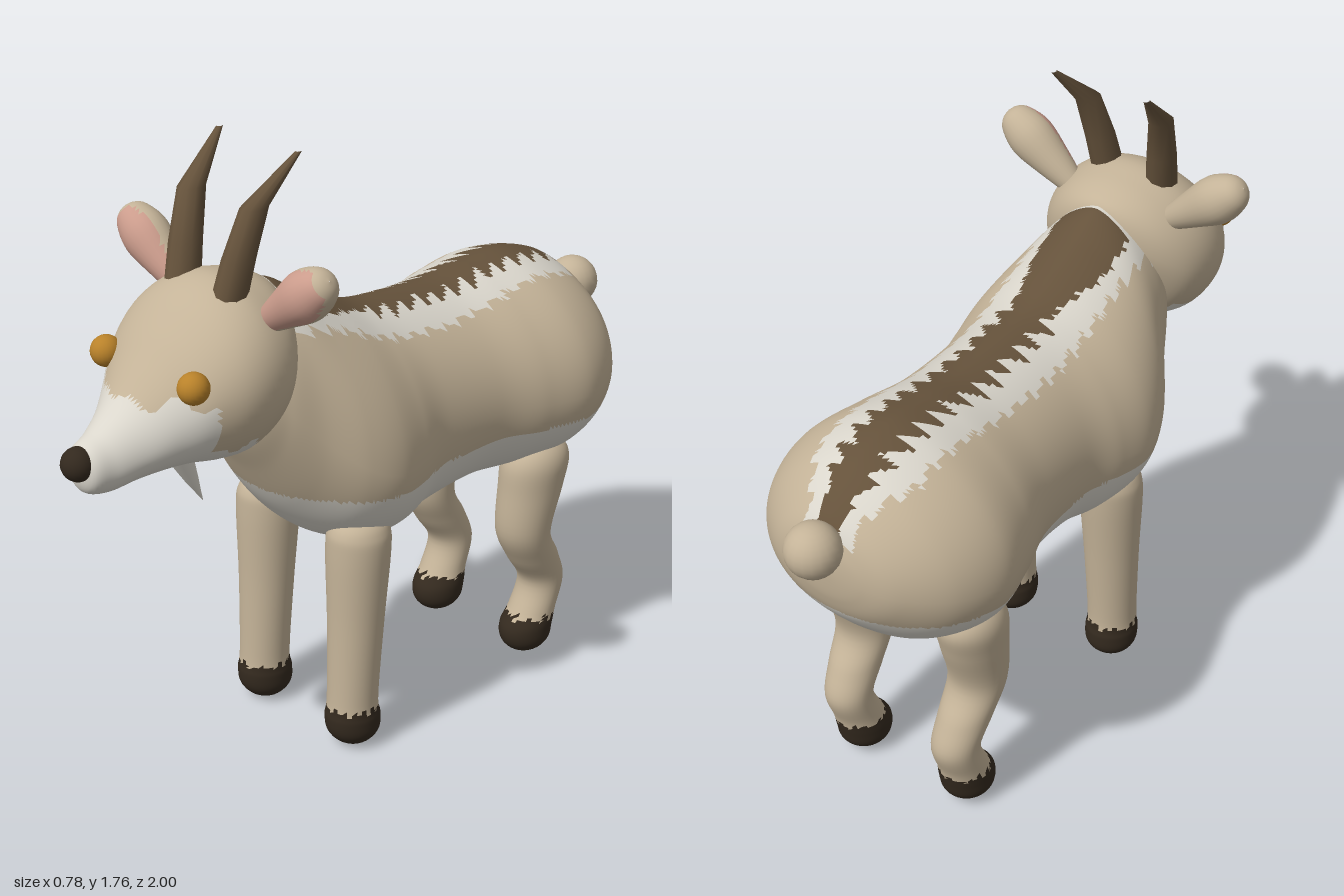
import * as THREE from 'three';

const mat = (name, color) => {
  const m = new THREE.MeshStandardMaterial({ color });
  m.name = name;
  return m;
};
const tan = mat('tan coat', 0xc4b398);
const pale = mat('pale coat', 0xdad6cc);
const brown = mat('brown stripe and horn', 0x65523b);
const dark = mat('dark hoof and nose', 0x33291e);
const pink = mat('pink inner ear', 0xcb9c8c);
const gold = mat('gold eye', 0xb9822a);

// Smooth interpolation through rows of numbers, n steps per span
function spline(rows, n) {
  const out = [];
  for (let i = 0; i < rows.length - 1; i++) {
    const b = rows[i], c = rows[i + 1];
    const a = rows[i - 1] || b, d = rows[i + 2] || c;
    for (let k = 0; k < n; k++) {
      const t = k / n;
      out.push(b.map((_, j) => {
        const linear = (c[j] - a[j]) * t;
        const square = (2 * a[j] - 5 * b[j] + 4 * c[j] - d[j]) * t * t;
        const cubic = (3 * b[j] - a[j] - 3 * c[j] + d[j]) * t * t * t;
        return b[j] + 0.5 * (linear + square + cubic);
      }));
    }
  }
  out.push(rows[rows.length - 1]);
  return out;
}

// Skin over cross-section rings; pick(x, y, z) chooses the material of each face
function skin(name, rings, materials, pick = () => 0) {
  const m = rings[0].length, pos = rings.flat(2);
  const lists = materials.map(() => []);
  const face = (...f) => {
    const mid = [0, 1, 2].map((j) => f.reduce((s, v) => s + pos[v * 3 + j], 0) / 3);
    lists[pick(...mid)].push(...f);
  };
  for (let i = 0; i < rings.length - 1; i++) {
    for (let k = 0; k < m; k++) {
      const a = i * m + k, b = i * m + (k + 1) % m;
      face(a, b, b + m);
      face(a, b + m, a + m);
    }
  }
  const geo = new THREE.BufferGeometry();
  geo.setAttribute('position', new THREE.Float32BufferAttribute(pos, 3));
  geo.setIndex(lists.flat());
  let start = 0;
  lists.forEach((l, i) => { geo.addGroup(start, l.length, i); start += l.length; });
  geo.computeVertexNormals();
  const mesh = new THREE.Mesh(geo, materials);
  mesh.name = name;
  return mesh;
}

// Rings along z; rows are [z, top, bottom, half width, height of widest point]
const trunkRings = (rows, n, sides, power) => spline(rows, n).map(([z, top, bottom, w, wy]) =>
  Array.from({ length: sides }, (_, k) => {
    const a = (k / sides) * Math.PI * 2, c = Math.cos(a), s = Math.sin(a);
    const p = s > 0 ? power : 1;
    return [Math.max(w, 0.001) * Math.sign(c) * Math.abs(c) ** p, wy + s * (s > 0 ? top - wy : wy - bottom), z];
  }));

// Level rings going up y; rows are [y, x, z, x radius, z radius]
const limbRings = (rows, n, sides) => spline(rows, n).map(([y, x, z, rx, rz]) =>
  Array.from({ length: sides }, (_, k) => {
    const a = (k / sides) * Math.PI * 2;
    return [x + Math.max(rx, 0.001) * Math.sin(a), y, z + Math.max(rz, 0.001) * Math.cos(a)];
  }));

function ball(name, r, x, y, z, material) {
  const mesh = new THREE.Mesh(new THREE.SphereGeometry(r, 20, 14), material);
  mesh.name = name;
  mesh.position.set(x, y, z);
  return mesh;
}

// Coat pattern of the body: brown saw-toothed back stripe, pale border, pale belly
function bodyPattern(x, y, z) {
  if (y < 0.8) return 1;
  if (y < 1.0 || z < -0.87) return 0;
  const ax = Math.abs(x);
  const saw = ((z + 1) / 0.062) % 1;
  const rump = THREE.MathUtils.smoothstep(z, -0.87, -0.68);
  const neck = THREE.MathUtils.smoothstep(z, 0, 0.24);
  const stripe = z < 0.03 ? 0.035 + 0.065 * saw * rump : 0.055 + 0.05 * neck + 0.012 * saw;
  if (ax < stripe && z < 0.33) return 2;
  return ax < 0.06 + 0.08 * rump + 0.025 * (1 - saw) && z < 0.37 ? 1 : 0;
}

// Coat pattern of the head: pale muzzle and jaw
function headPattern(x, y, z) {
  const wobble = 0.012 * Math.sin(z * 70) + 0.01 * Math.sin(x * 60);
  const muzzle = z > 0.67 + wobble && y < 1.2 + wobble;
  return muzzle || (z > 0.42 && y < 1.06 + wobble) ? 1 : 0;
}

export function createModel() {
  const model = new THREE.Group();
  model.name = 'antelope';

  const body = [
    [-0.89, 0.955, 0.945, 0, 0.95], [-0.878, 1.03, 0.85, 0.11, 0.93], [-0.84, 1.1, 0.765, 0.205, 0.91],
    [-0.74, 1.185, 0.66, 0.31, 0.89], [-0.6, 1.225, 0.61, 0.36, 0.88], [-0.45, 1.22, 0.607, 0.33, 0.88],
    [-0.3, 1.207, 0.61, 0.285, 0.89], [-0.1, 1.22, 0.585, 0.275, 0.88], [0.02, 1.24, 0.565, 0.305, 0.86],
    [0.13, 1.285, 0.585, 0.325, 0.86], [0.23, 1.335, 0.635, 0.3, 0.9], [0.33, 1.39, 0.74, 0.235, 0.99],
    [0.41, 1.37, 0.87, 0.19, 1.08], [0.48, 1.3, 1.0, 0.13, 1.13], [0.5, 1.16, 1.14, 0, 1.15],
  ];
  model.add(skin('body', trunkRings(body, 12, 120, 1.25), [tan, pale, brown], bodyPattern));

  const head = [
    [0.322, 1.33, 1.31, 0, 1.32], [0.34, 1.39, 1.225, 0.1, 1.3], [0.38, 1.42, 1.13, 0.18, 1.26],
    [0.44, 1.44, 1.02, 0.235, 1.22], [0.52, 1.45, 0.97, 0.257, 1.21], [0.6, 1.42, 0.972, 0.25, 1.2],
    [0.68, 1.35, 0.985, 0.21, 1.18], [0.75, 1.27, 0.985, 0.155, 1.13], [0.82, 1.19, 0.98, 0.108, 1.08],
    [0.89, 1.135, 0.97, 0.077, 1.05], [0.945, 1.105, 0.985, 0.055, 1.045], [0.965, 1.05, 1.03, 0, 1.04],
  ];
  model.add(skin('head', trunkRings(head, 6, 64, 1), [tan, pale], headPattern));

  model.add(ball('nose', 0.045, 0, 1.065, 0.955, dark));
  model.add(ball('tail', 0.075, 0, 1.035, -0.922, tan));

  // Beard under the chin
  const beard = [[0.825, 0, 0.555, 0, 0], [0.9, 0, 0.593, 0.014, 0.022], [1.0, 0, 0.64, 0.028, 0.045]];
  model.add(skin('beard', limbRings(beard, 2, 12), [pale]));

  for (const s of [1, -1]) {
    const side = s > 0 ? 'left' : 'right';
    const limb = (name, rows, n, sides, mats, pick) => {
      const placed = rows.map(([y, x, ...rest]) => [y, x * s, ...rest]);
      model.add(skin(side + name, limbRings(placed, n, sides), mats, pick));
    };

    model.add(ball(side + 'Eye', 0.042, 0.168 * s, 1.247, 0.718, gold));

    // Horns bend backwards halfway up
    limb('Horn', [
      [1.38, 0.085, 0.53, 0.046, 0.05], [1.51, 0.1, 0.5, 0.042, 0.046], [1.64, 0.117, 0.46, 0.033, 0.04],
      [1.762, 0.146, 0.335, 0.007, 0.01],
    ], 1, 10, [brown]);

    // Ears spread outwards with a pink front
    const ear = skin(side + 'Ear', limbRings([
      [0, 0, 0, 0.035, 0.035], [0.08, 0, 0, 0.052, 0.052], [0.17, 0, 0, 0.068, 0.064],
      [0.235, 0, 0, 0.052, 0.05], [0.262, 0, 0, 0.028, 0.028], [0.27, 0, 0, 0, 0],
    ], 4, 24), [tan, pink], (x, y, z) => (z > 0.02 && y < 0.25 ? 1 : 0));
    ear.position.set(0.165 * s, 1.355, 0.46);
    ear.rotation.z = -0.93 * s;
    model.add(ear);

    // Legs with dark hooves
    const hoof = (x, y, z) => (y < 0.125 + 0.012 * Math.sin(z * 190) * Math.cos(x * 150) ? 1 : 0);
    limb('FrontLeg', [
      [0.002, 0.18, 0.18, 0, 0], [0.012, 0.18, 0.18, 0.042, 0.042], [0.045, 0.18, 0.18, 0.072, 0.074],
      [0.09, 0.18, 0.182, 0.077, 0.08], [0.15, 0.18, 0.182, 0.072, 0.072], [0.38, 0.18, 0.17, 0.08, 0.078],
      [0.6, 0.18, 0.16, 0.09, 0.09], [0.67, 0.18, 0.157, 0.08, 0.085], [0.705, 0.18, 0.155, 0.045, 0.05],
      [0.716, 0.18, 0.155, 0, 0],
    ], 8, 32, [tan, dark], hoof);
    limb('HindLeg', [
      [0.005, 0.18, -0.545, 0, 0], [0.014, 0.18, -0.545, 0.042, 0.045], [0.045, 0.18, -0.547, 0.07, 0.076],
      [0.09, 0.18, -0.552, 0.075, 0.083], [0.14, 0.182, -0.575, 0.07, 0.07], [0.23, 0.184, -0.605, 0.068, 0.068],
      [0.32, 0.188, -0.56, 0.074, 0.08], [0.42, 0.192, -0.51, 0.082, 0.08], [0.56, 0.197, -0.53, 0.09, 0.1],
      [0.65, 0.2, -0.545, 0.09, 0.107], [0.7, 0.2, -0.55, 0.06, 0.07], [0.72, 0.2, -0.55, 0, 0],
    ], 6, 32, [tan, dark], hoof);
  }
  return model;
}
